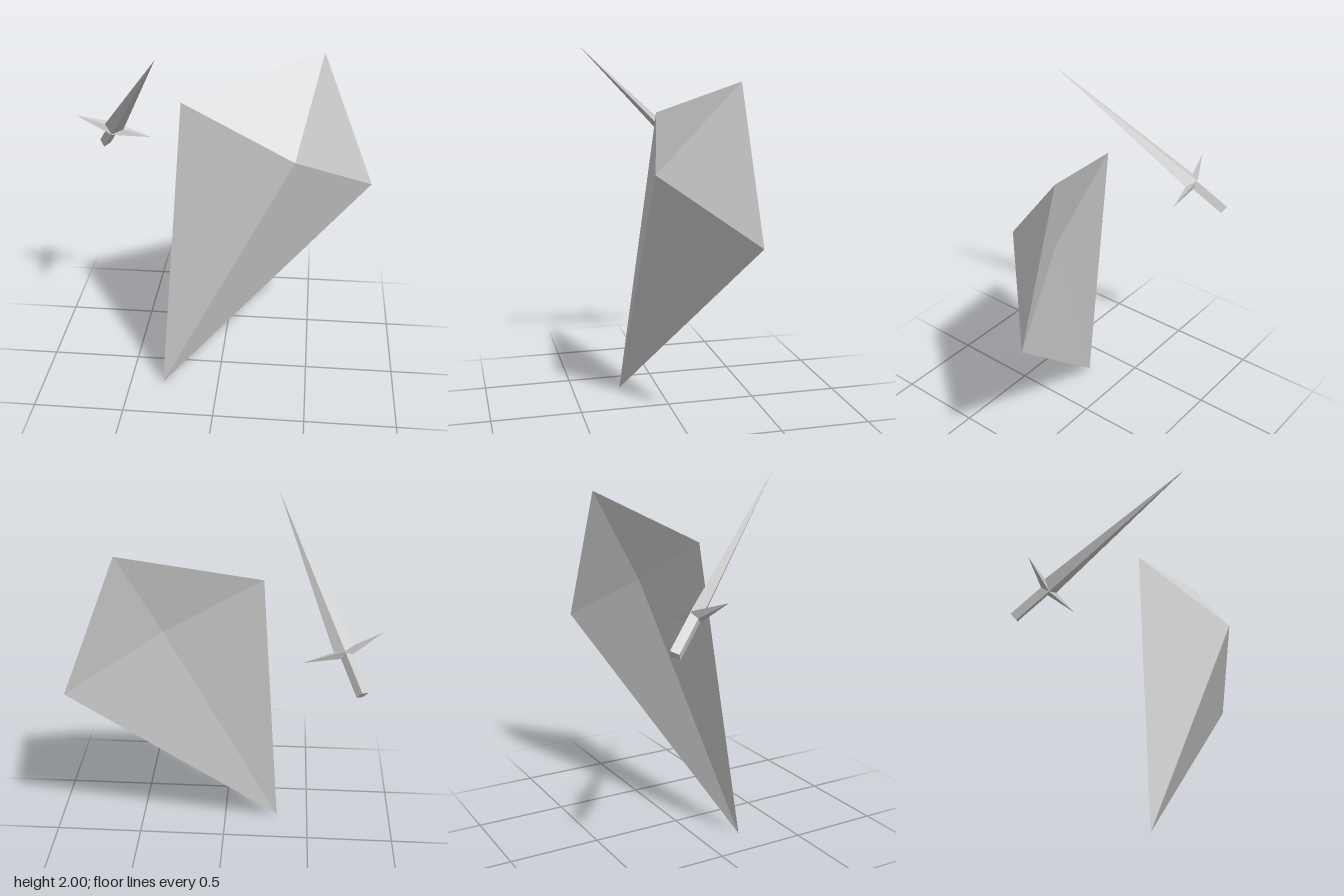
import * as THREE from 'three';

const grey = new THREE.MeshStandardMaterial({ color: 0xcccccc, flatShading: true });

function addMesh(parent, name, geometry) {
  const mesh = new THREE.Mesh(geometry, grey);
  mesh.name = name;
  parent.add(mesh);
}

// Faceted solid from corner points and triangles
function facets(points, triangles) {
  const g = new THREE.BufferGeometry();
  g.setAttribute('position', new THREE.Float32BufferAttribute(points.flat(), 3));
  g.setIndex(triangles.flat());
  const flat = g.toNonIndexed();
  flat.computeVertexNormals();
  return flat;
}

// Kite shield: four facets rise to a boss in front, four sink to a shallow hollow behind
function createShield() {
  const rim = [
    [-0.315, 0, 0.225],
    [0.822, 1.084, -0.263],
    [0.525, 1.85, -0.236],
    [-0.21, 1.64, 0.019],
  ];
  const boss = [0.395, 1.387, 0.163];
  const hollow = [0.315, 1.367, -0.06];
  const triangles = rim.flatMap((_, i) => {
    const next = (i + 1) % 4;
    return [[i, next, 4], [next, i, 5]];
  });
  return facets([...rim, boss, hollow], triangles);
}

// Sword along local y, with its guard along local x
function createSword() {
  const sword = new THREE.Group();
  sword.name = 'sword';

  // Blade: long diamond-section spike
  const tip = 0.965, base = -0.04;
  const blade = new THREE.ConeGeometry(1, tip - base, 4);
  blade.scale(0.055, 1, 0.038);
  blade.translate(0, (tip + base) / 2, 0);
  addMesh(sword, 'blade', blade);

  // Guard: two spikes swept slightly towards the blade
  const reach = 0.218;
  const guard = new THREE.OctahedronGeometry(1);
  guard.scale(reach, 0.025, 0.04);
  const p = guard.attributes.position;
  for (let i = 0; i < p.count; i++) {
    p.setY(i, p.getY(i) - 0.035 * (1 - Math.abs(p.getX(i)) / reach));
  }
  guard.computeVertexNormals();
  addMesh(sword, 'guard', guard);

  // Grip: diamond-section bar
  const grip = new THREE.CylinderGeometry(1, 1, 0.227, 4);
  grip.scale(0.031, 1, 0.036);
  grip.translate(0, -0.1535, 0);
  addMesh(sword, 'grip', grip);

  // Tilt the sword so the blade points up and forward
  const along = new THREE.Vector3(0.364, 0.632, 0.683).normalize();
  const across = new THREE.Vector3(0.4, -0.145, -0.078);
  across.addScaledVector(along, -across.dot(along)).normalize();
  const through = new THREE.Vector3().crossVectors(across, along);
  sword.quaternion.setFromRotationMatrix(new THREE.Matrix4().makeBasis(across, along, through));
  sword.position.set(-0.62, 1.39, -0.23);
  return sword;
}

export function createModel() {
  const model = new THREE.Group();
  model.name = 'swordAndShield';
  addMesh(model, 'shield', createShield());
  model.add(createSword());
  return model;
}
